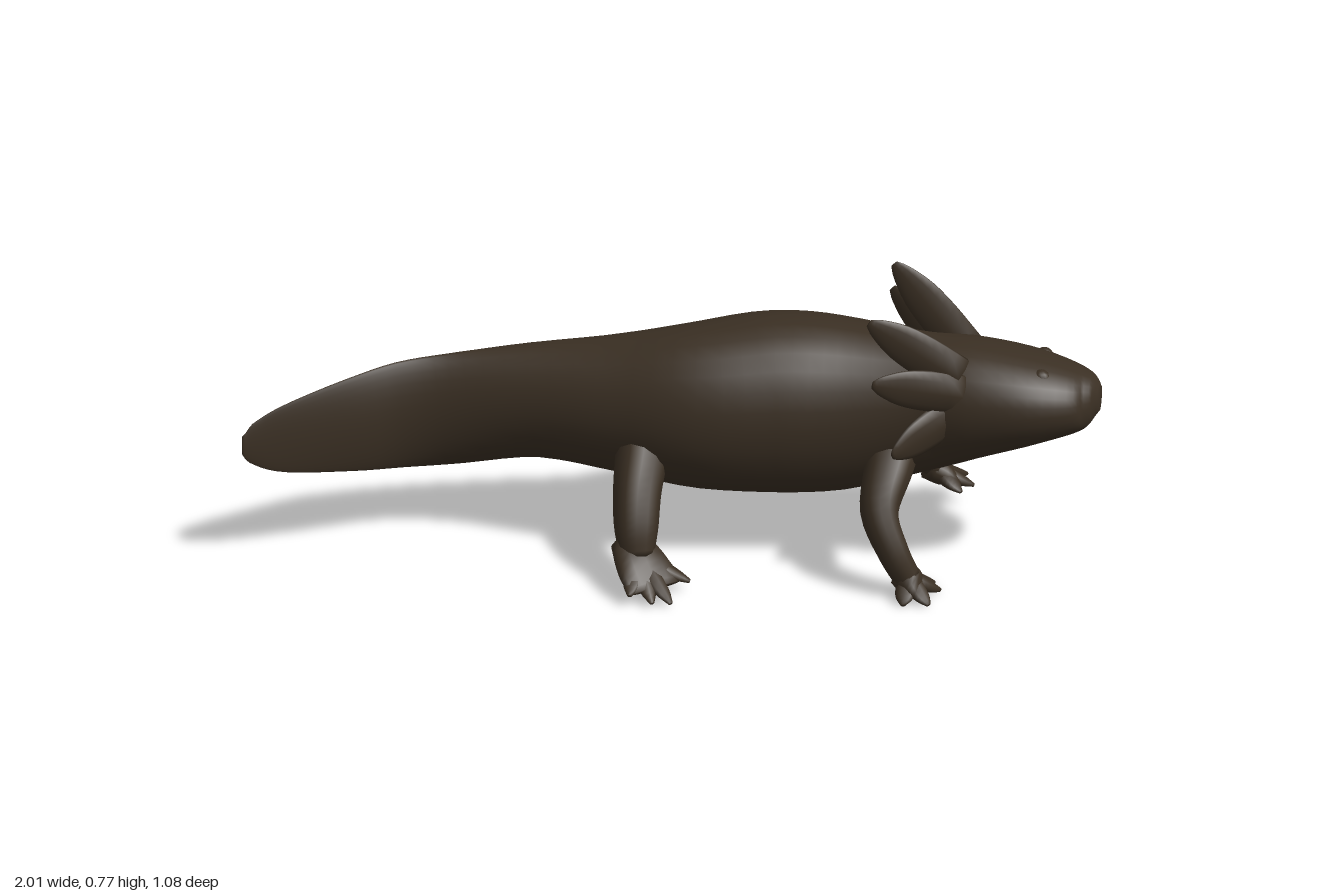
import * as THREE from 'three';

const skin = new THREE.MeshStandardMaterial({ color: 0x3a2f23 });
skin.name = 'darkBrownSkin';

// Smooth loft through sections [x, y, z, halfWidth, halfHeight, pinch]; `up` orients the cross-sections.
// Pinch above 1 narrows the top and bottom to a ridge, below 1 makes them fuller.
function loft(sections, steps, sides, up) {
  const curveOf = (f) => new THREE.CatmullRomCurve3(sections.map(f), false, 'catmullrom', 0.5);
  const path = curveOf((s) => new THREE.Vector3(s[0], s[1], s[2]));
  const size = curveOf((s) => new THREE.Vector3(s[3], s[4], s[5] ?? 1));
  const pos = [], index = [];
  for (let i = 0; i <= steps; i++) {
    const t = i / steps;
    const p = path.getPoint(t), r = size.getPoint(t), tan = path.getTangent(t);
    const side = new THREE.Vector3().crossVectors(tan, up).normalize();
    const top = new THREE.Vector3().crossVectors(side, tan).normalize();
    for (let j = 0; j < sides; j++) {
      const a = (j / sides) * Math.PI * 2, c = Math.cos(a);
      const v = p.clone()
        .addScaledVector(side, Math.sign(c) * Math.abs(c) ** r.z * Math.max(r.x, 0.002))
        .addScaledVector(top, Math.sin(a) * Math.max(r.y, 0.002));
      pos.push(v.x, v.y, v.z);
    }
  }
  const at = (i, j) => i * sides + (j % sides);
  for (let i = 0; i < steps; i++) {
    for (let j = 0; j < sides; j++) {
      index.push(at(i, j), at(i + 1, j), at(i, j + 1));
      index.push(at(i + 1, j), at(i + 1, j + 1), at(i, j + 1));
    }
  }
  // end caps
  const first = pos.length / 3;
  for (const t of [0, 1]) pos.push(...path.getPoint(t).toArray());
  for (let j = 0; j < sides; j++) {
    index.push(first, at(0, j), at(0, j + 1));
    index.push(first + 1, at(steps, j + 1), at(steps, j));
  }
  const geo = new THREE.BufferGeometry();
  geo.setAttribute('position', new THREE.Float32BufferAttribute(pos, 3));
  geo.setIndex(index);
  geo.computeVertexNormals();
  return geo;
}

function part(name, geometry) {
  const mesh = new THREE.Mesh(geometry, skin);
  mesh.name = name;
  return mesh;
}

const UP = new THREE.Vector3(0, 1, 0);
const between = (a, b, k) => a.map((v, i) => v + (b[i] - v) * k);

// Bent limb ending in a webbed foot with pointed toes
function limb(name, joints, radii, palmWidth, toes) {
  const group = new THREE.Group();
  group.name = name;
  const ankle = joints[joints.length - 1];
  const mid = [0, 1, 2].map((i) => toes.reduce((sum, t) => sum + t[i], 0) / toes.length);
  const forward = new THREE.Vector3(mid[0] - ankle[0], 0.03, mid[2] - ankle[2]).normalize();
  group.add(part('leg', loft(joints.map((p, i) => [...p, radii[i], radii[i]]), 18, 12, forward)));
  group.add(part('palm', loft([
    [...between(ankle, mid, -0.4), palmWidth * 0.65, 0.036],
    [...between(ankle, mid, 0.1), palmWidth * 0.9, 0.036],
    [...between(ankle, mid, 0.5), palmWidth, 0.022],
    [...between(ankle, mid, 0.8), palmWidth * 0.9, 0.008],
  ], 8, 12, UP)));
  for (const tip of toes) {
    group.add(part('toe', loft([
      [...between(ankle, tip, 0), 0.022, 0.026],
      [...between(ankle, tip, 0.4), 0.026, 0.02],
      [...between(ankle, tip, 0.75), 0.021, 0.012],
      [...between(ankle, tip, 1), 0.006, 0.005],
    ], 8, 8, UP)));
  }
  return group;
}

// Flat leaf-shaped gill with a blunt tip
function gill(name, base, tip) {
  return part(name, loft([
    [...between(base, tip, -0.2), 0.028, 0.052],
    [...between(base, tip, 0.25), 0.022, 0.053],
    [...between(base, tip, 0.6), 0.015, 0.046],
    [...between(base, tip, 0.88), 0.009, 0.026],
    [...between(base, tip, 1), 0.004, 0.01],
  ], 12, 10, UP));
}

export function createModel() {
  const model = new THREE.Group();
  model.name = 'salamander';

  // Tail fin, trunk and head in one skin: x, z, half width, top, bottom, pinch
  const spine = [
    [-1.0, -0.41, 0.004, 0.37, 0.32, 1],
    [-0.97, -0.41, 0.006, 0.4, 0.285, 1.2],
    [-0.89, -0.409, 0.009, 0.435, 0.25, 1.4],
    [-0.72, -0.41, 0.02, 0.48, 0.222, 1.6],
    [-0.58, -0.412, 0.034, 0.505, 0.207, 1.6],
    [-0.44, -0.378, 0.06, 0.52, 0.207, 1.4],
    [-0.25, -0.29, 0.102, 0.548, 0.23, 1.15],
    [-0.05, -0.175, 0.158, 0.577, 0.205, 1],
    [0.12, -0.07, 0.195, 0.615, 0.178, 0.92],
    [0.3, 0.0, 0.212, 0.64, 0.165, 0.9],
    [0.46, 0.09, 0.195, 0.633, 0.178, 0.9],
    [0.62, 0.215, 0.163, 0.613, 0.25, 0.9],
    [0.72, 0.3, 0.168, 0.61, 0.305, 0.88],
    [0.83, 0.38, 0.16, 0.588, 0.354, 0.85],
    [0.92, 0.44, 0.12, 0.557, 0.39, 0.85],
    [0.954, 0.467, 0.08, 0.54, 0.415, 0.9],
    [0.972, 0.483, 0.03, 0.51, 0.447, 1],
  ].map(([x, z, w, top, bottom, pinch]) => [x, (top + bottom) / 2, z, w, (top - bottom) / 2, pinch]);
  model.add(part('body', loft(spine, 64, 28, UP)));

  // Low eye bumps
  for (const [x, z] of [[0.9, 0.33], [0.805, 0.458]]) {
    const eye = part('eye', new THREE.SphereGeometry(0.025, 12, 8));
    eye.position.set(x, 0.548, z);
    model.add(eye);
  }

  // Legs, each rooted inside the body
  const frontRadii = [0.075, 0.062, 0.048, 0.04, 0.035];
  const hindRadii = [0.08, 0.07, 0.062, 0.056, 0.042];
  model.add(limb('frontRightLeg',
    [[0.56, 0.37, 0.2], [0.48, 0.29, 0.29], [0.425, 0.21, 0.35], [0.44, 0.12, 0.4], [0.475, 0.045, 0.42]],
    frontRadii, 0.05,
    [[0.565, 0.008, 0.4], [0.56, 0.006, 0.44], [0.49, 0.006, 0.5], [0.43, 0.006, 0.475]]));
  model.add(limb('frontLeftLeg',
    [[0.58, 0.39, 0.16], [0.65, 0.325, 0.06], [0.71, 0.265, -0.02], [0.775, 0.18, -0.04], [0.825, 0.1, -0.025]],
    frontRadii, 0.048,
    [[0.89, 0.07, -0.07], [0.93, 0.065, -0.04], [0.91, 0.062, 0.03], [0.85, 0.065, 0.06]]));
  model.add(limb('hindRightLeg',
    [[0.0, 0.39, -0.14], [-0.05, 0.31, -0.05], [-0.095, 0.23, 0.02], [-0.12, 0.15, 0.07], [-0.13, 0.085, 0.1]],
    hindRadii, 0.078,
    [[-0.195, 0.035, 0.2], [-0.145, 0.015, 0.225], [-0.1, 0.012, 0.24], [-0.02, 0.03, 0.18]]));
  model.add(limb('hindLeftLeg',
    [[0.02, 0.37, -0.17], [0.08, 0.3, -0.27], [0.13, 0.24, -0.35], [0.165, 0.19, -0.4], [0.2, 0.15, -0.435]],
    hindRadii, 0.078,
    [[0.285, 0.125, -0.54], [0.35, 0.1, -0.46], [0.32, 0.095, -0.42], [0.29, 0.095, -0.375]]));

  // Three gills behind each cheek: base, tip
  const gills = {
    rightGill: [
      [[0.58, 0.58, 0.36], [0.405, 0.7, 0.295]],
      [[0.58, 0.52, 0.38], [0.39, 0.56, 0.35]],
      [[0.58, 0.44, 0.37], [0.425, 0.385, 0.4]],
    ],
    leftGill: [
      [[0.74, 0.57, 0.16], [0.59, 0.765, 0.09]],
      [[0.75, 0.52, 0.13], [0.64, 0.665, 0.0]],
      [[0.74, 0.455, 0.15], [0.76, 0.515, 0.02]],
    ],
  };
  for (const [name, list] of Object.entries(gills)) {
    for (const [base, tip] of list) model.add(gill(name, base, tip));
  }

  return model;
}
